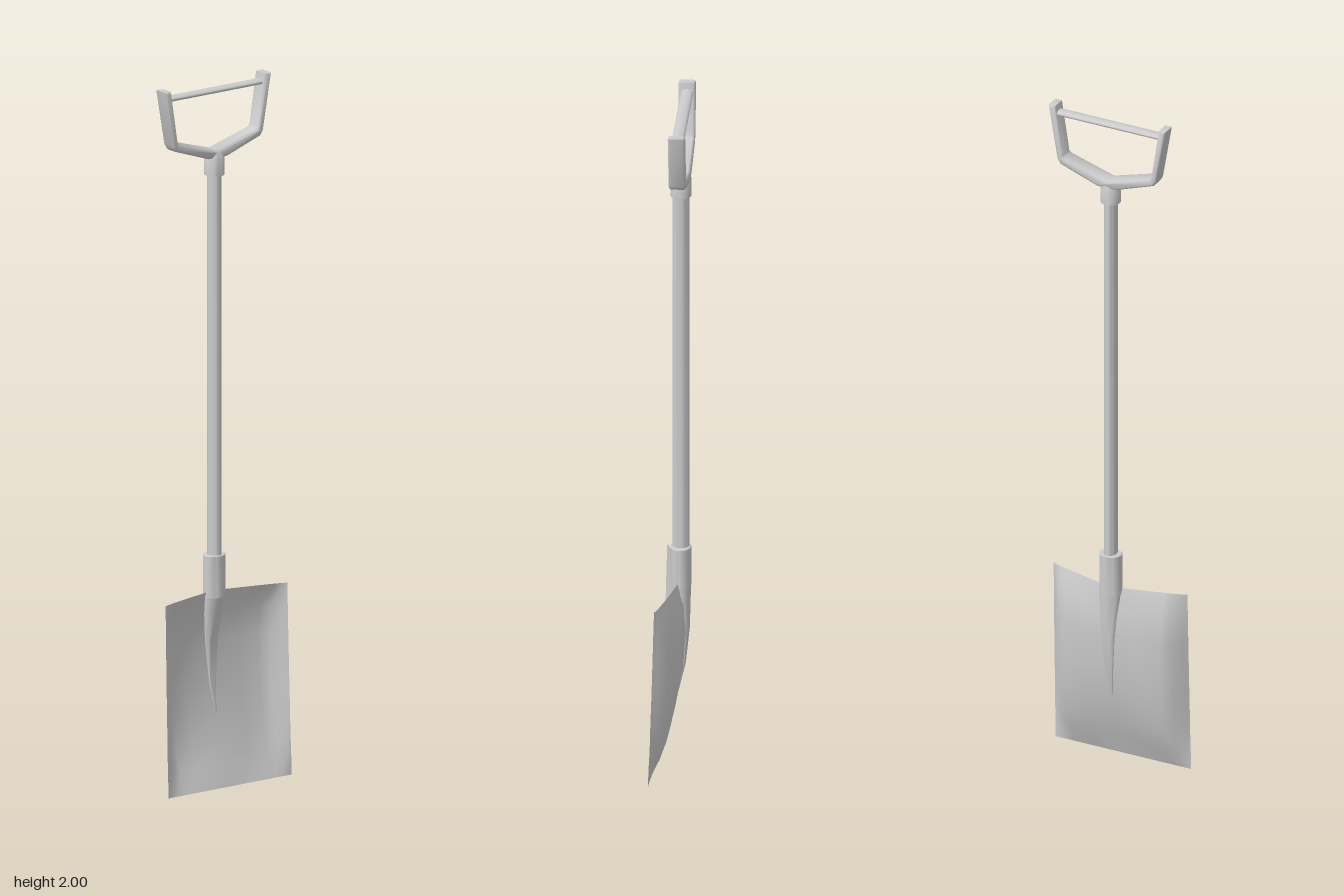
import * as THREE from 'three';
import { toCreasedNormals } from 'three/addons/utils/BufferGeometryUtils.js';

const AXIS_Z = -0.02; // the shaft sits slightly behind the blade rim

export function createModel() {
  const model = new THREE.Group();
  const material = new THREE.MeshStandardMaterial({ color: 0xcccccc });
  const sheetMaterial = new THREE.MeshStandardMaterial({ color: 0xcccccc, side: THREE.DoubleSide });

  function add(name, geometry, mat = material) {
    const mesh = new THREE.Mesh(geometry, mat);
    mesh.name = name;
    model.add(mesh);
    return mesh;
  }

  // Upright turned part with an oval section; profile is [radius, y]
  function ovalLathe(name, profile, depthScale) {
    const geometry = new THREE.LatheGeometry(profile.map(([r, y]) => new THREE.Vector2(r, y)), 20);
    geometry.scale(1, 1, depthScale);
    geometry.translate(0, 0, AXIS_Z);
    return add(name, toCreasedNormals(geometry, 0.7));
  }

  ovalLathe('shaft', [[0.018, 0.6], [0.018, 1.75]], 1.3);
  ovalLathe('handleCollar', [[0, 1.735], [0.028, 1.735], [0.028, 1.787], [0.02, 1.803], [0, 1.806]], 1.05);
  ovalLathe('bladeSocket', [[0, 0.53], [0.033, 0.53], [0.033, 0.648], [0.031, 0.65], [0, 0.65]], 0.88);

  // Y-shaped handle frame: half outline mirrored, with chamfered edges
  const half = [[0.03, 1.785], [0.145, 1.825], [0.155, 1.84], [0.183, 2], [0.162, 2], [0.139, 1.852], [0.134, 1.846]];
  const outline = [...half, [0, 1.807], ...half.map(([x, y]) => [-x, y]).reverse()];
  const frame = new THREE.ExtrudeGeometry(new THREE.Shape(outline.map(([x, y]) => new THREE.Vector2(x, y))), {
    depth: 0.034, bevelEnabled: true, bevelThickness: 0.007, bevelSize: 0.006, bevelOffset: -0.006, bevelSegments: 2,
  });
  frame.translate(0, 0, -0.04);
  add('handleFrame', toCreasedNormals(frame, 0.9));

  // Flat oval grip bar between the arms
  const grip = new THREE.CylinderGeometry(1, 1, 0.325, 16);
  grip.rotateZ(Math.PI / 2);
  grip.scale(1, 0.008, 0.017);
  grip.translate(0, 1.974, -0.024);
  add('grip', grip);

  // Dished blade: each row gives y and the depth at each column from centre to rim
  const columns = [0, 0.09, 0.15, 0.178, 0.2, 0.21];
  const rows = [
    [0.545, -0.022, 0.0, 0.016, 0.024, 0.031, 0.036],
    [0.48, -0.033, -0.022, -0.01, 0.002, 0.027, 0.038],
    [0.4, -0.037, -0.03, -0.017, -0.002, 0.028, 0.04],
    [0.29, -0.029, -0.026, -0.016, 0.0, 0.03, 0.043],
    [0.2, -0.013, -0.013, -0.007, 0.008, 0.034, 0.046],
    [0.12, 0.01, 0.004, 0.006, 0.02, 0.04, 0.048],
    [0.06, 0.034, 0.026, 0.026, 0.034, 0.047, 0.051],
    [0, 0.053, 0.053, 0.053, 0.053, 0.053, 0.053],
  ];
  const last = columns.length - 1;
  const blade = new THREE.PlaneGeometry(1, 1, last * 2, rows.length - 1);
  const position = blade.attributes.position;
  for (let i = 0; i < position.count; i++) {
    const side = (i % (last * 2 + 1)) - last;
    const [y, ...depths] = rows[Math.floor(i / (last * 2 + 1))];
    const k = Math.abs(side);
    const flare = 1 + 0.012 * (1 - y / 0.545);
    position.setXYZ(i, Math.sign(side) * columns[k] * flare, y, depths[k]);
  }
  blade.computeVertexNormals();
  add('blade', blade, sheetMaterial);

  // Socket tail: oval sections that thin out and follow the blade's centre line
  const sections = [ // y, half width, half depth, z
    [0.55, 0.033, 0.029, -0.02],
    [0.48, 0.028, 0.02, -0.027],
    [0.4, 0.021, 0.011, -0.034],
    [0.29, 0.012, 0.005, -0.029],
    [0.2, 0.002, 0.001, -0.013],
  ];
  const around = 16;
  const tail = new THREE.CylinderGeometry(1, 1, 1, around, sections.length - 1, true);
  const tp = tail.attributes.position;
  for (let i = 0; i < tp.count; i++) {
    const [y, rx, rz, z] = sections[Math.floor(i / (around + 1))];
    tp.setXYZ(i, tp.getX(i) * rx, y, z + tp.getZ(i) * rz);
  }
  add('socketTail', toCreasedNormals(tail, 1));

  return model;
}
